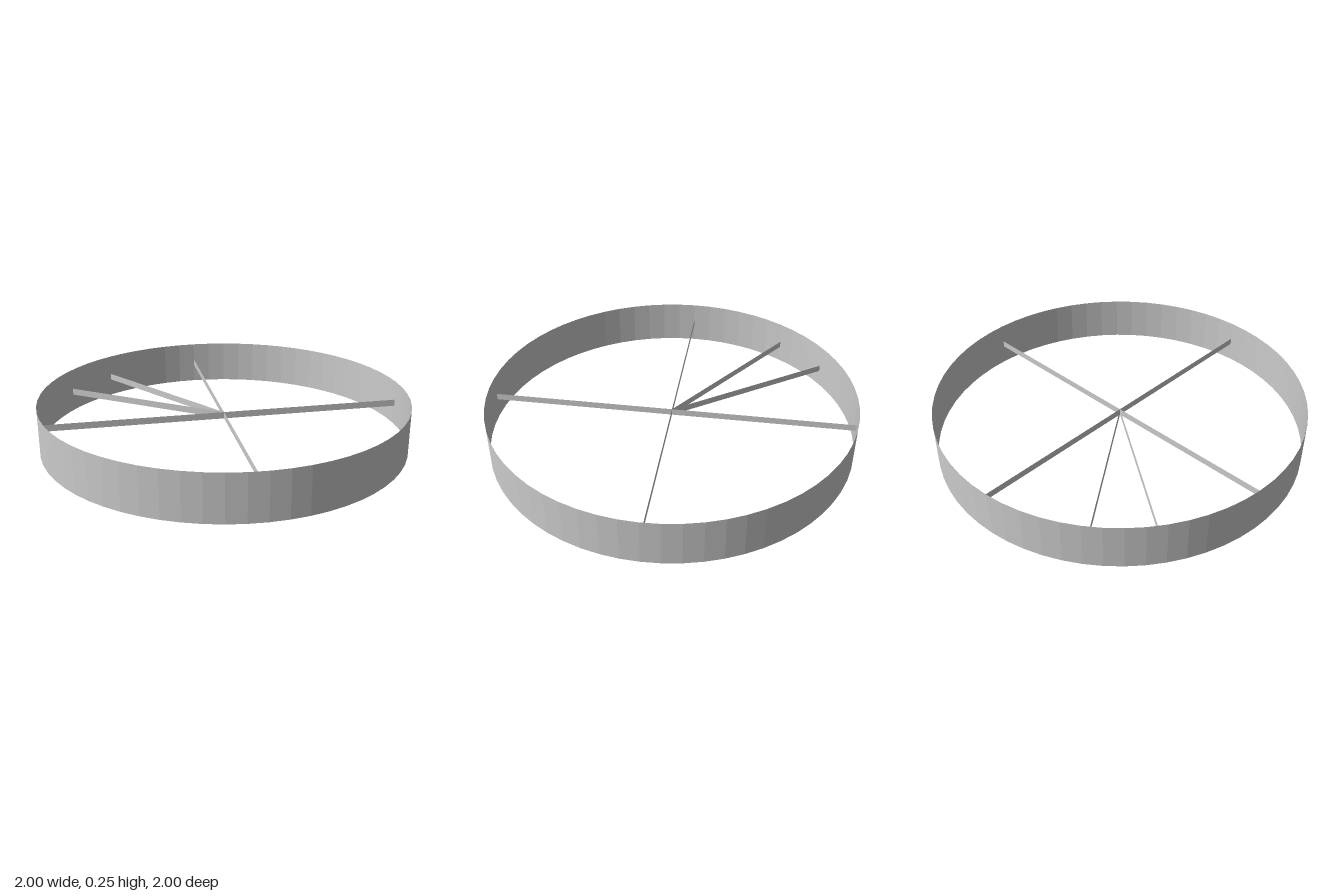
import * as THREE from 'three';

export function createModel() {
  const group = new THREE.Group();
  const material = new THREE.MeshStandardMaterial({
    color: 0xcccccc, flatShading: true, side: THREE.DoubleSide,
  });
  const height = 0.25;

  // Thin open band
  const rim = new THREE.Mesh(new THREE.CylinderGeometry(1, 1, height, 64, 1, true), material);
  rim.name = 'rim';
  rim.position.y = height / 2;
  group.add(rim);

  // Flat upright strip between two radii along a direction in the ground plane
  function addStrip(name, from, to, degrees) {
    const geometry = new THREE.PlaneGeometry(to - from, 0.037);
    geometry.translate((from + to) / 2, 0, 0);
    const strip = new THREE.Mesh(geometry, material);
    strip.name = name;
    strip.position.y = height / 2;
    strip.rotation.y = THREE.MathUtils.degToRad(degrees);
    group.add(strip);
  }

  // Two crossing bars spanning the full diameter
  for (const angle of [45, -45]) addStrip('crossBar', -1, 1, angle);

  // Pair of slightly shorter spokes on the right side
  for (const angle of [170, 190]) addStrip('shortSpoke', 0, 0.983, angle);

  return group;
}
